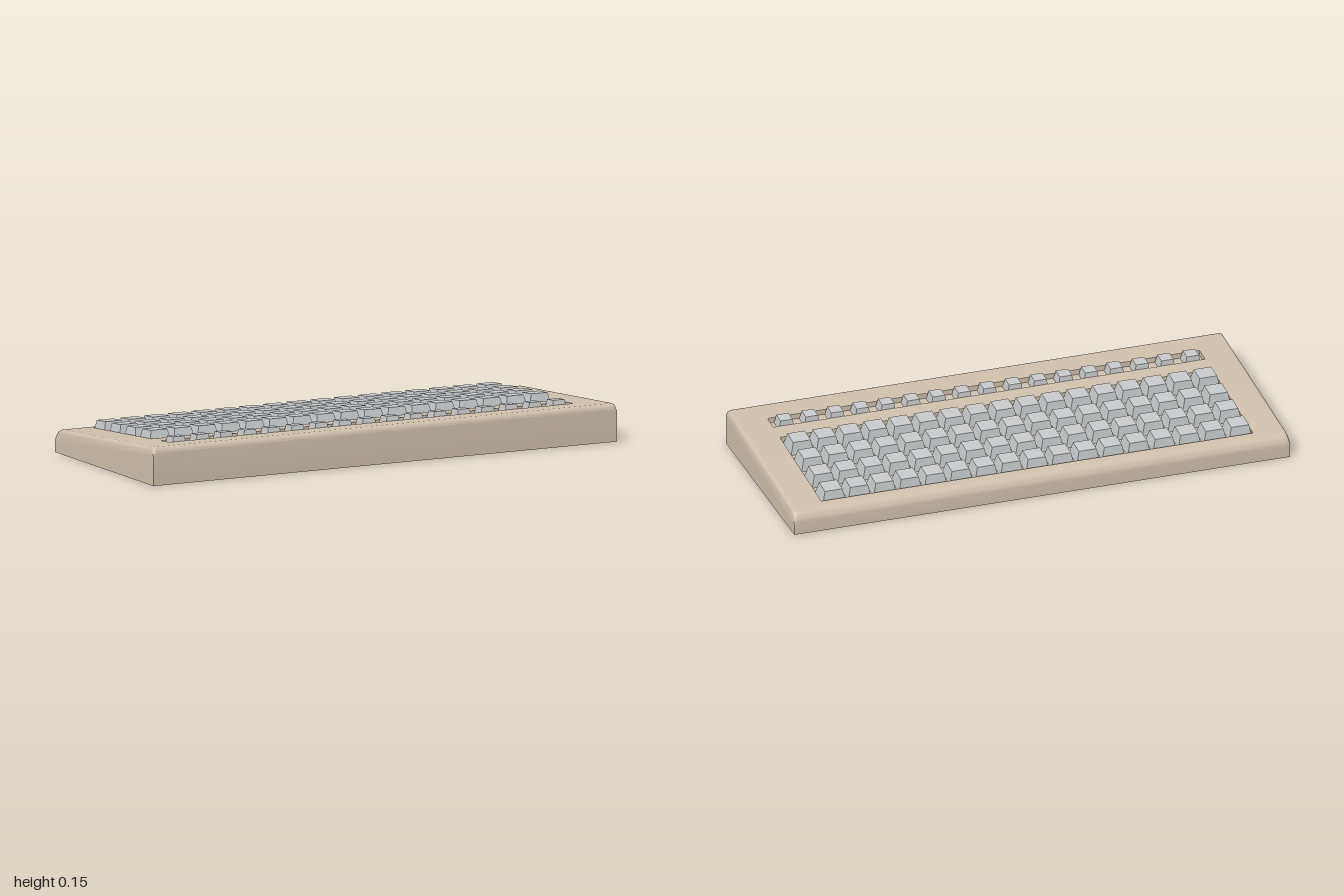
import * as THREE from 'three';
import { toCreasedNormals, mergeGeometries } from 'three/addons/utils/BufferGeometryUtils.js';

const HALF_W = 0.9645, HALF_D = 0.389, WELL_X = 0.84, WELL_DEPTH = 0.02;
const WELLS = [[0.278, 0.213], [0.138, -0.331]]; // front and back z of each key well
const SLOPE = 0.073;
const topY = z => 0.115 + SLOPE * z; // sloping top of the case

// Side profile of the case (shape x = -z), optionally notched by the key wells
function caseProfile(wells) {
  const s = new THREE.Shape();
  const rf = 0.024, rb = 0.04, k = 0.45;
  const fy = topY(HALF_D), by = topY(-HALF_D);
  s.moveTo(-HALF_D, 0);
  s.lineTo(HALF_D, 0);
  s.lineTo(HALF_D, by - rb);
  s.bezierCurveTo(HALF_D, by - rb * k, HALF_D - rb * k, by,
    HALF_D - rb, topY(rb - HALF_D));
  for (const [front, back] of [...wells].reverse()) {
    s.lineTo(-back, topY(back));
    s.lineTo(-back, topY(back) - WELL_DEPTH);
    s.lineTo(-front, topY(front) - WELL_DEPTH);
    s.lineTo(-front, topY(front));
  }
  s.lineTo(-HALF_D + rf, topY(HALF_D - rf));
  s.bezierCurveTo(-HALF_D + rf * k, fy, -HALF_D, fy - rf * k, -HALF_D, fy - rf);
  s.closePath();
  return s;
}

// Extrude a profile along x, rounding the top edge where it meets the outer ends
function casePart(x0, x1, wells, steps) {
  const g = new THREE.ExtrudeGeometry(caseProfile(wells),
    { depth: x1 - x0, steps, bevelEnabled: false, curveSegments: 8 });
  g.rotateY(Math.PI / 2).translate(x0, 0, 0);
  const p = g.attributes.position, r = 0.015;
  for (let i = 0; i < p.count; i++) {
    const t = Math.min(r, Math.abs(p.getX(i)) - (HALF_W - r));
    if (t > 0 && p.getY(i) > 0.03) p.setY(i, p.getY(i) - r + Math.sqrt(r * r - t * t));
  }
  return toCreasedNormals(g, 0.7);
}

// Tapered keycap standing on y = 0
function keycap(base, top, height) {
  const g = new THREE.BoxGeometry(base, height, base).translate(0, height / 2, 0);
  const p = g.attributes.position;
  for (let i = 0; i < p.count; i++) {
    if (p.getY(i) > height / 2) {
      p.setX(i, p.getX(i) * top / base);
      p.setZ(i, p.getZ(i) * top / base);
    }
  }
  g.computeVertexNormals();
  return g;
}

// One row of 17 keys, tilted with the case
function keyRow(z, cap) {
  const keys = [];
  for (let i = 0; i < 17; i++) {
    keys.push(cap.clone().rotateX(-Math.atan(SLOPE))
      .translate((i - 8) * 0.0988 - 0.004, topY(z) - WELL_DEPTH, z));
  }
  return mergeGeometries(keys);
}

export function createModel() {
  const model = new THREE.Group();
  model.name = 'keyboard';
  const caseMat = new THREE.MeshStandardMaterial({ color: 0xcdbfaa });
  caseMat.name = 'beige case';
  const keyMat = new THREE.MeshStandardMaterial({ color: 0xc5c8ca });
  keyMat.name = 'grey keys';
  const add = (name, geometry, material) => {
    const mesh = new THREE.Mesh(geometry, material);
    mesh.name = name;
    model.add(mesh);
  };

  // Case: notched middle and two solid ends
  add('caseMiddle', casePart(-WELL_X, WELL_X, WELLS, 1), caseMat);
  add('caseLeftEnd', casePart(WELL_X, HALF_W, [], 25), caseMat);
  add('caseRightEnd', casePart(-HALF_W, -WELL_X, [], 25), caseMat);

  // Four rows of main keys and one row of small keys
  const mainCap = keycap(0.089, 0.068, WELL_DEPTH + 0.028);
  for (let r = 0; r < 4; r++) add(`mainKeyRow${r + 1}`, keyRow(-0.279 + r * 0.12, mainCap), keyMat);
  add('smallKeyRow', keyRow(0.245, keycap(0.06, 0.047, WELL_DEPTH + 0.017)), keyMat);

  // The whole board sits turned slightly on the ground
  model.rotation.y = -0.105;
  return model;
}
